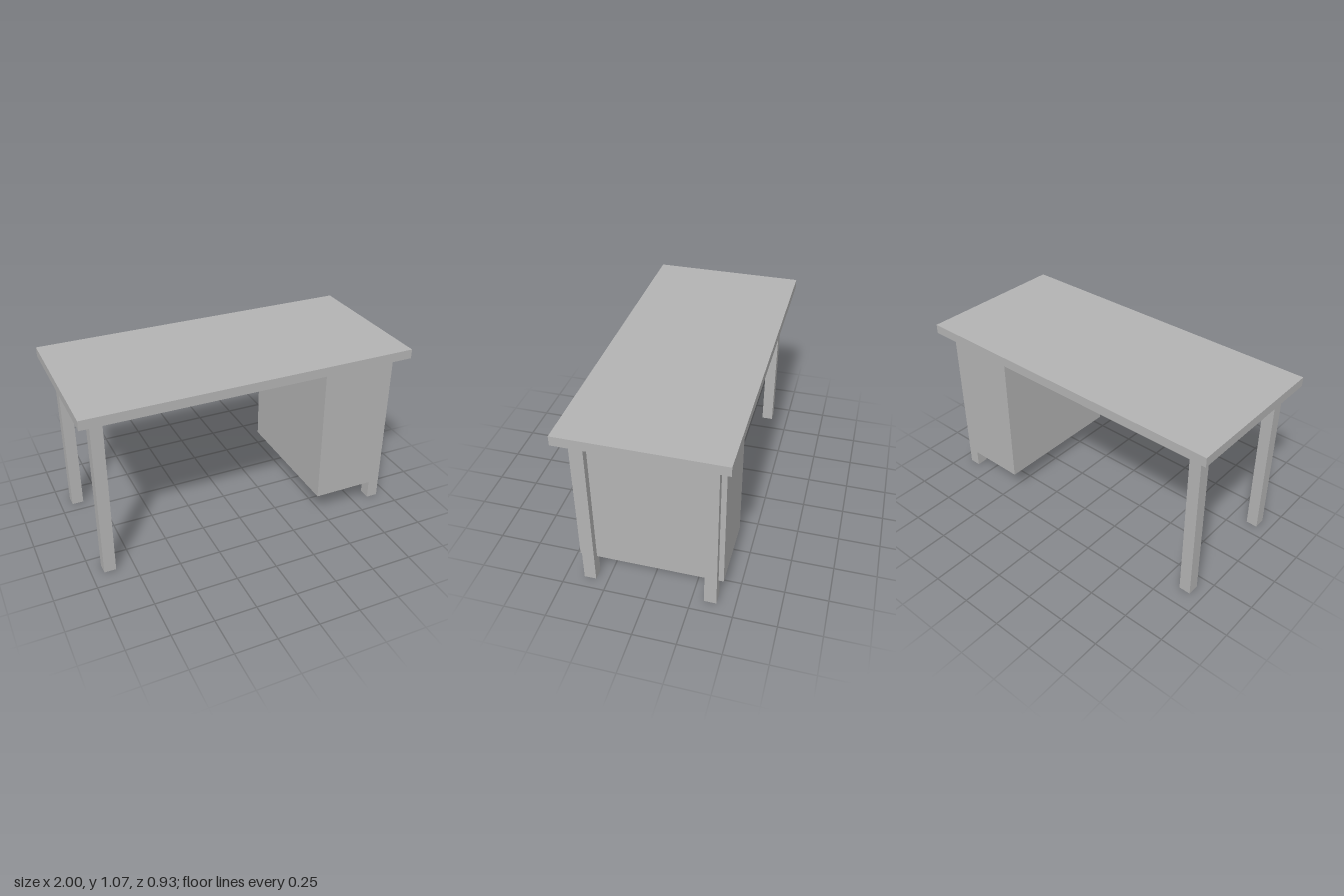
import * as THREE from 'three';

const grey = new THREE.MeshStandardMaterial({ color: 0xb3b3b3 });
grey.name = 'grey';

// Box given by its centre on x and z, its bottom and its size
function box(name, [w, h, d], [x, bottom, z]) {
  const mesh = new THREE.Mesh(new THREE.BoxGeometry(w, h, d), grey);
  mesh.name = name;
  mesh.position.set(x, bottom + h / 2, z);
  return mesh;
}

export function createModel() {
  const desk = new THREE.Group();
  desk.name = 'desk';

  // Table top
  desk.add(box('tableTop', [2, 0.057, 0.929], [0, 1.014, 0]));

  // Four square legs
  for (const [side, sx] of [['Left', 1], ['Right', -1]]) {
    for (const [end, sz] of [['front', 1], ['back', -1]]) {
      desk.add(box(`${end}${side}Leg`, [0.071, 1.014, 0.071], [sx * 0.893, 0, sz * 0.357]));
    }
  }

  // Cabinet hung between the left legs, with a small gap under the top
  desk.add(box('cabinet', [0.429, 0.857, 0.843], [0.671, 0.143, 0]));

  return desk;
}
